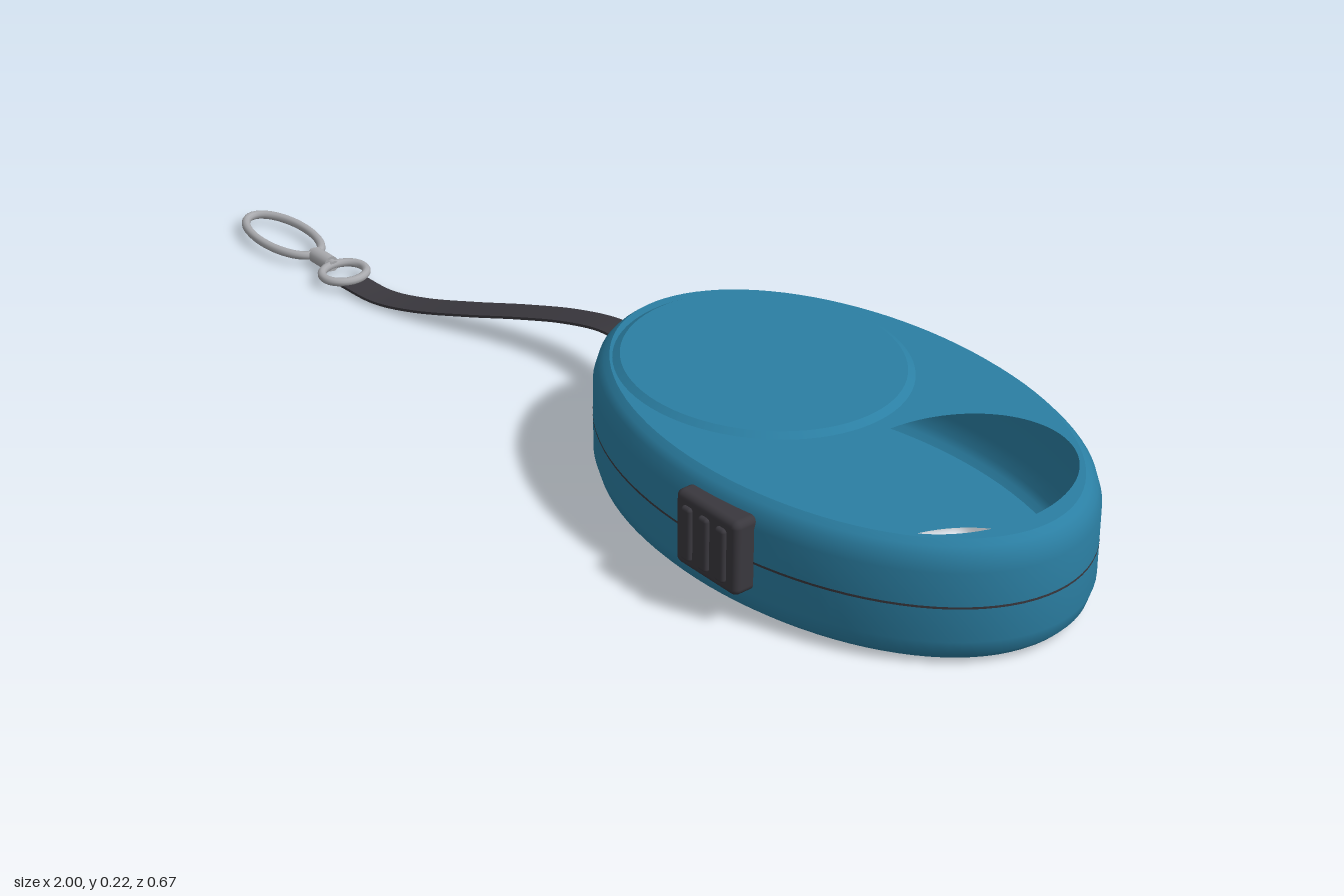
import * as THREE from 'three';
import { RoundedBoxGeometry } from 'three/addons/geometries/RoundedBoxGeometry.js';

const CX = 0.508, CZ = -0.015, RX = 0.492, RZ = 0.318, H = 0.212;

export function createModel() {
  const model = new THREE.Group();
  const shell = new THREE.MeshStandardMaterial({ color: 0x2b7fa3, side: THREE.DoubleSide });
  const darkPlastic = new THREE.MeshStandardMaterial({ color: 0x3a383e, side: THREE.DoubleSide });
  const metal = new THREE.MeshStandardMaterial({ color: 0xa9aaae });

  const add = (name, geometry, material, x = 0, y = 0, z = 0) => {
    const mesh = new THREE.Mesh(geometry, material);
    mesh.name = name;
    mesh.position.set(x, y, z);
    model.add(mesh);
    return mesh;
  };

  // Elliptical wall from [inset, height] pairs, with an even inset all round
  const ovalWall = (profile, rx, rz) => {
    const geo = new THREE.LatheGeometry(profile.map(([i, y]) => new THREE.Vector2(1 - i, y)), 96);
    const p = geo.attributes.position;
    for (let k = 0; k < p.count; k++) {
      const x = p.getX(k), z = p.getZ(k), r = Math.hypot(x, z);
      p.setX(k, (x / r) * (rx - 1 + r));
      p.setZ(k, (z / r) * (rz - 1 + r));
    }
    geo.computeVertexNormals();
    // Close the shading seam where the wall meets itself
    const n = geo.attributes.normal, rows = profile.length, last = 96 * rows;
    for (let k = 0; k < rows; k++) {
      const v = new THREE.Vector3().fromBufferAttribute(n, k)
        .add(new THREE.Vector3().fromBufferAttribute(n, last + k)).normalize();
      n.setXYZ(k, v.x, v.y, v.z);
      n.setXYZ(last + k, v.x, v.y, v.z);
    }
    return geo;
  };

  // Hollow housing: rounded outer wall
  const edge = [[0.028, 0], [0.018, 0.008], [0.008, 0.019], [0, 0.045]];
  const profile = [...edge, [0, H / 2], ...edge.map(([i, y]) => [i, H - y]).reverse()];
  add('housingWall', ovalWall(profile, RX, RZ), shell, CX, 0, CZ);

  // Flat faces with the grip opening cut through
  const face = new THREE.Shape().absellipse(0, 0, RX - 0.028, RZ - 0.028, 0, Math.PI * 2);
  face.holes.push(new THREE.Path().absellipse(0.776 - CX, 0, 0.165, 0.208, 0, Math.PI * 2));
  const faceGeo = new THREE.ShapeGeometry(face, 48);
  add('housingTop', faceGeo, shell, CX, H, CZ).rotation.x = -Math.PI / 2;
  add('housingBottom', faceGeo, shell, CX, 0, CZ).rotation.x = Math.PI / 2;

  // Seam between the two halves
  add('seam', ovalWall([[0, 0.1045], [0, 0.1085]], RX + 0.0008, RZ + 0.0008), darkPlastic, CX, 0, CZ);

  // Raised oval cover over the spool
  const cover = add('spoolCover', new THREE.CylinderGeometry(0.95, 1, 0.008, 80), shell, 0.322, H + 0.004, -0.014);
  cover.scale.set(0.26, 1, 0.237);

  // Brake button with three grip ribs
  add('brakeButton', new RoundedBoxGeometry(0.145, 0.132, 0.075, 3, 0.012), darkPlastic, 0.577, 0.121, 0.289);
  for (const i of [-1, 0, 1]) {
    add('buttonRib', new RoundedBoxGeometry(0.022, 0.096, 0.02, 2, 0.006), darkPlastic, 0.577 + i * 0.04, 0.121, 0.324);
  }

  // Strap outlet
  add('strapOutlet', new RoundedBoxGeometry(0.04, 0.06, 0.09, 2, 0.006), darkPlastic, 0.02, 0.108, -0.017);

  // Flat strap swept along a curve
  const path = new THREE.CatmullRomCurve3([
    [0.02, 0.107, -0.025], [-0.1, 0.098, -0.037], [-0.2, 0.08, -0.025], [-0.3, 0.058, 0.005],
    [-0.4, 0.036, 0.046], [-0.5, 0.017, 0.086], [-0.58, 0.009, 0.11], [-0.665, 0.012, 0.12],
  ].map((a) => new THREE.Vector3(...a)));
  const strap = new THREE.BoxGeometry(1, 0.005, 0.054, 48, 1, 1);
  const sp = strap.attributes.position;
  for (let k = 0; k < sp.count; k++) {
    const t = 0.5 - sp.getX(k), c = path.getPoint(t), d = path.getTangent(t);
    const side = new THREE.Vector3(d.z, 0, -d.x).normalize();
    c.addScaledVector(side, sp.getZ(k));
    sp.setXYZ(k, c.x, c.y + sp.getY(k), c.z);
  }
  strap.computeVertexNormals();
  add('strap', strap, darkPlastic);

  // Metal ring, swivel and oval clip
  const loop = (name, rx, rz, tube, x) => {
    const pts = [];
    for (let i = 0; i < 32; i++) {
      const a = (i / 32) * Math.PI * 2;
      pts.push(new THREE.Vector3(Math.cos(a) * rx, 0, Math.sin(a) * rz));
    }
    add(name, new THREE.TubeGeometry(new THREE.CatmullRomCurve3(pts, true), 72, tube, 10, true), metal, x, 0.019, 0.118);
  };
  loop('strapRing', 0.038, 0.042, 0.008, -0.69);
  loop('clipLoop', 0.104, 0.047, 0.008, -0.888);
  add('swivelPin', new THREE.CylinderGeometry(0.01, 0.01, 0.07, 16), metal, -0.757, 0.019, 0.118).rotation.z = Math.PI / 2;
  add('swivelBarrel', new THREE.CylinderGeometry(0.015, 0.015, 0.05, 16), metal, -0.757, 0.019, 0.118).rotation.z = Math.PI / 2;

  return model;
}
